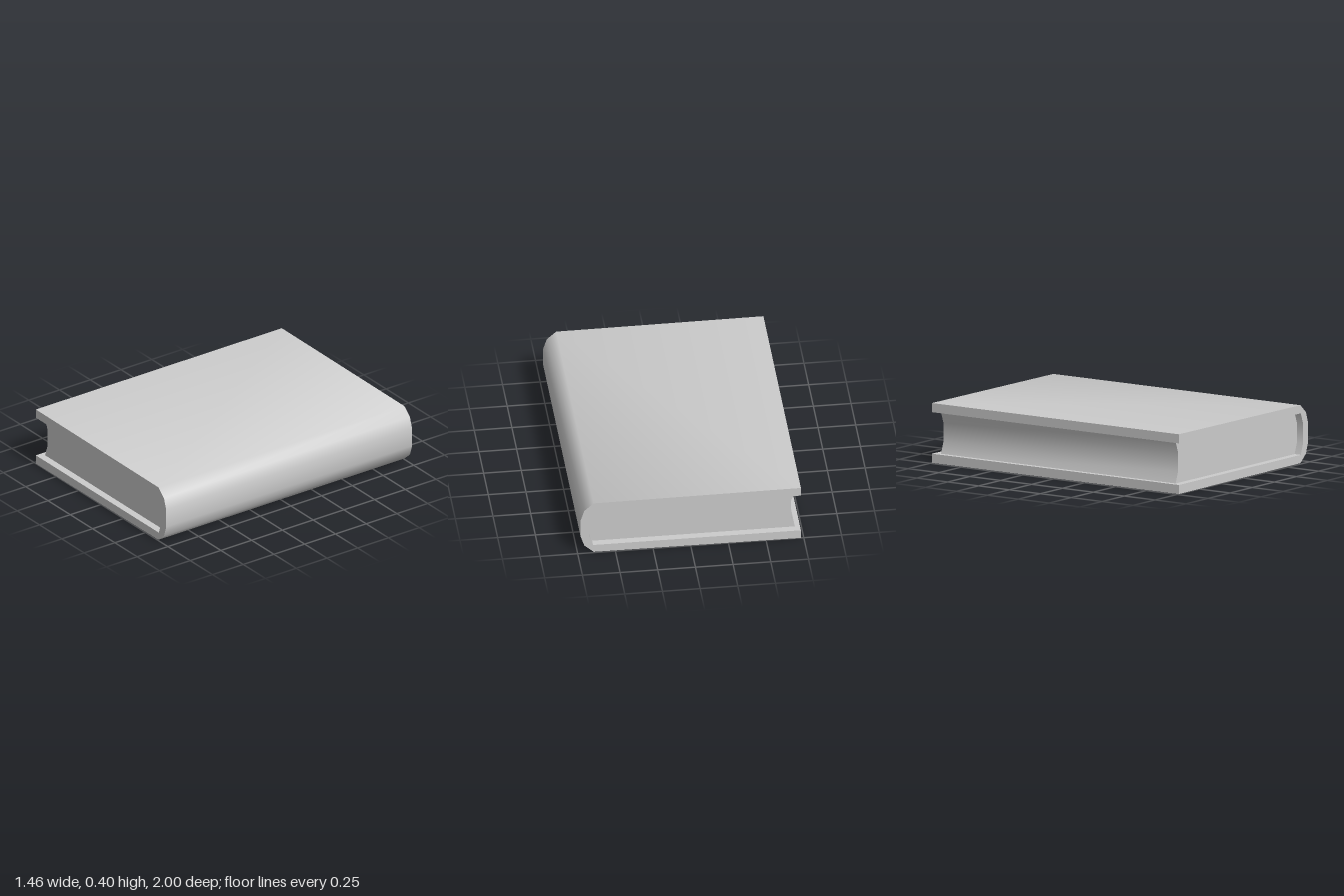
import * as THREE from 'three';
import { toCreasedNormals } from 'three/addons/utils/BufferGeometryUtils.js';

// Extrude an x/y profile along z, centred, smoothing the gentle bends only
function extrudeProfile(points, length, name, material) {
  const shape = new THREE.Shape(points.map(([x, y]) => new THREE.Vector2(x, y)));
  const geometry = new THREE.ExtrudeGeometry(shape, { depth: length, bevelEnabled: false });
  geometry.translate(0, 0, -length / 2);
  const mesh = new THREE.Mesh(toCreasedNormals(geometry, 0.8), material);
  mesh.name = name;
  return mesh;
}

export function createModel() {
  const book = new THREE.Group();
  book.name = 'book';
  const grey = new THREE.MeshStandardMaterial({ color: 0xcccccc });
  grey.name = 'plain grey';

  // Mirror the lower half of a profile about mid-height
  const mirrored = (half) => [...half].reverse().map(([x, y]) => [x, 0.4 - y]);

  // Cover: two boards joined by a faceted rounded spine
  const outer = [[-0.731, 0], [0.644, 0.006], [0.706, 0.061], [0.731, 0.137]];
  const inner = [[-0.731, 0.061], [0.648, 0.061], [0.675, 0.137]];
  const cover = [...outer, ...mirrored(outer), ...[...inner, ...mirrored(inner)].reverse()];
  book.add(extrudeProfile(cover, 2, 'cover', grey));

  // Page block: set back from the board edges, with a hollow fore edge
  const half = [[-0.67, 0.137], [-0.697, 0.061], [0.648, 0.061], [0.675, 0.137]];
  book.add(extrudeProfile([...half, ...mirrored(half)], 1.9, 'pages', grey));

  return book;
}
